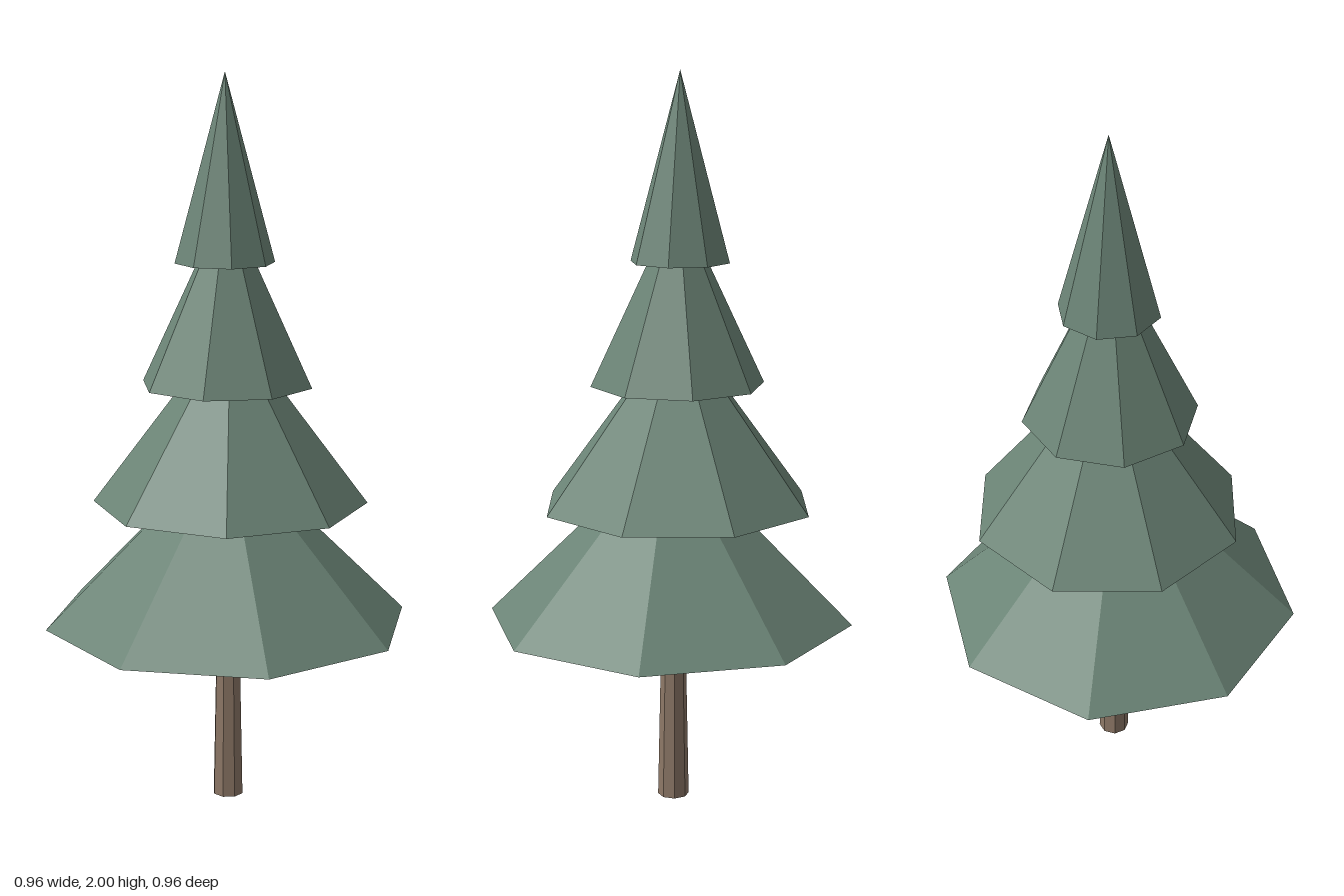
import * as THREE from 'three';

const SIDES = 8;

export function createModel() {
  const tree = new THREE.Group();
  tree.name = 'pineTree';

  const needles = new THREE.MeshStandardMaterial({ color: 0x6b8476 });
  needles.name = 'needleGreen';
  needles.flatShading = true;
  const bark = new THREE.MeshStandardMaterial({ color: 0x8c7766 });
  bark.name = 'barkBrown';
  bark.flatShading = true;

  // Eight-sided tapering solid; turn is the angle of its first corner from +x towards +z
  function addTaper(name, material, rTop, rBottom, height, turn, x, y, z) {
    const start = THREE.MathUtils.degToRad(90 - turn);
    const geometry = new THREE.CylinderGeometry(rTop, rBottom, height, SIDES, 1, false, start);
    const mesh = new THREE.Mesh(geometry, material);
    mesh.name = name;
    mesh.position.set(x, y + height / 2, z);
    tree.add(mesh);
  }

  // Trunk, ending inside the lowest branches
  addTaper('trunk', bark, 0.031, 0.043, 0.6, 5, 0.008, 0, -0.01);

  // Branch cones, stacked from the bottom up with small offsets and turns
  const tiers = [
    { name: 'lowestBranches', r: 0.503, turn: 18, x: 0, y: 0.517, z: 0 },
    { name: 'lowerBranches', r: 0.375, turn: 31.6, x: 0.02, y: 0.843, z: -0.019 },
    { name: 'upperBranches', r: 0.236, turn: 0, x: 0.01, y: 1.171, z: -0.021 },
    { name: 'treeTop', r: 0.135, turn: 22.5, x: 0.008, y: 1.5, z: -0.027 },
  ];
  for (const t of tiers) addTaper(t.name, needles, 0, t.r, 0.5, t.turn, t.x, t.y, t.z);

  return tree;
}
